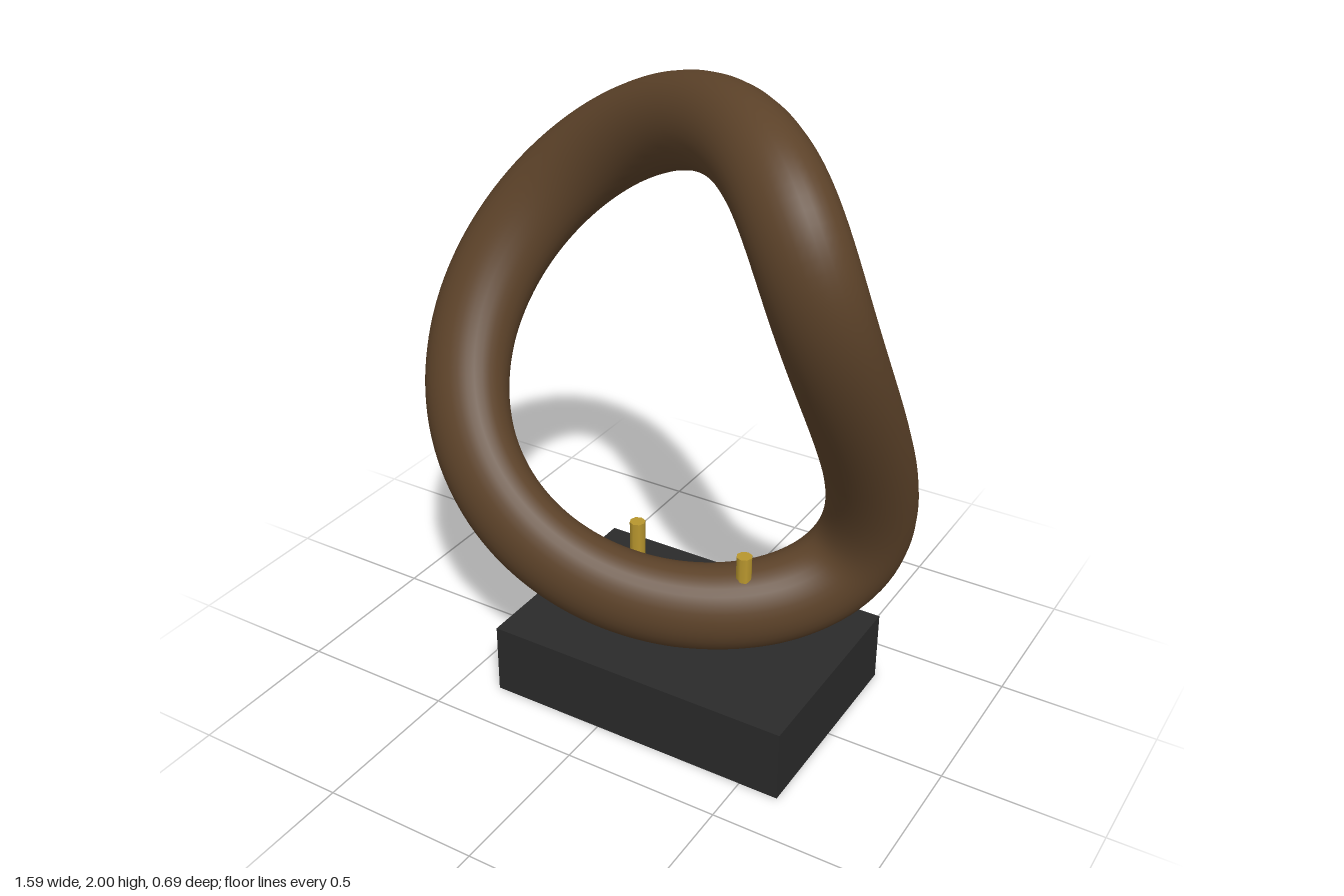
import * as THREE from 'three';

const FLATTEN = 0.785; // the loop's cross-section is slimmer front to back

// Closed twisted loop: figure-eight from the side, rounded D from the front
class LoopCurve extends THREE.Curve {
  getPoint(u, target = new THREE.Vector3()) {
    const t = u * Math.PI * 2;
    const s = Math.sin(t);
    return target.set(
      0.655 * Math.cos(t) + 0.25 * s * s,
      1.1 + 0.76 * s,
      (0.232 / FLATTEN) * Math.sin(2 * t)
    );
  }
}

export function createModel() {
  const bronze = new THREE.MeshStandardMaterial({ name: 'bronze brown', color: 0x5c4229 });
  const stone = new THREE.MeshStandardMaterial({ name: 'dark stone', color: 0x2a2a2a });
  const brass = new THREE.MeshStandardMaterial({ name: 'brass', color: 0xb8962e });

  const model = new THREE.Group();
  model.name = 'loopSculpture';
  const add = (name, geometry, material, x = 0, y = 0, z = 0) => {
    const mesh = new THREE.Mesh(geometry, material);
    mesh.name = name;
    mesh.position.set(x, y, z);
    model.add(mesh);
  };

  const centreX = 0.126;
  const baseHeight = 0.232;

  // Sculpted loop with an oval cross-section
  const loop = new THREE.TubeGeometry(new LoopCurve(), 200, 0.141, 32, true);
  loop.scale(1, 1, FLATTEN);
  add('loop', loop, bronze);

  // Plinth
  add('base', new THREE.BoxGeometry(1, baseHeight, 0.686), stone, centreX, baseHeight / 2);

  // Two mounting pins rising from the plinth
  const pinTop = 0.546;
  const pinBottom = 0.2;
  for (const side of [-1, 1]) {
    add(side > 0 ? 'leftPin' : 'rightPin',
      new THREE.CylinderGeometry(0.025, 0.025, pinTop - pinBottom, 8),
      brass, centreX + side * 0.19, (pinTop + pinBottom) / 2);
  }
  return model;
}
